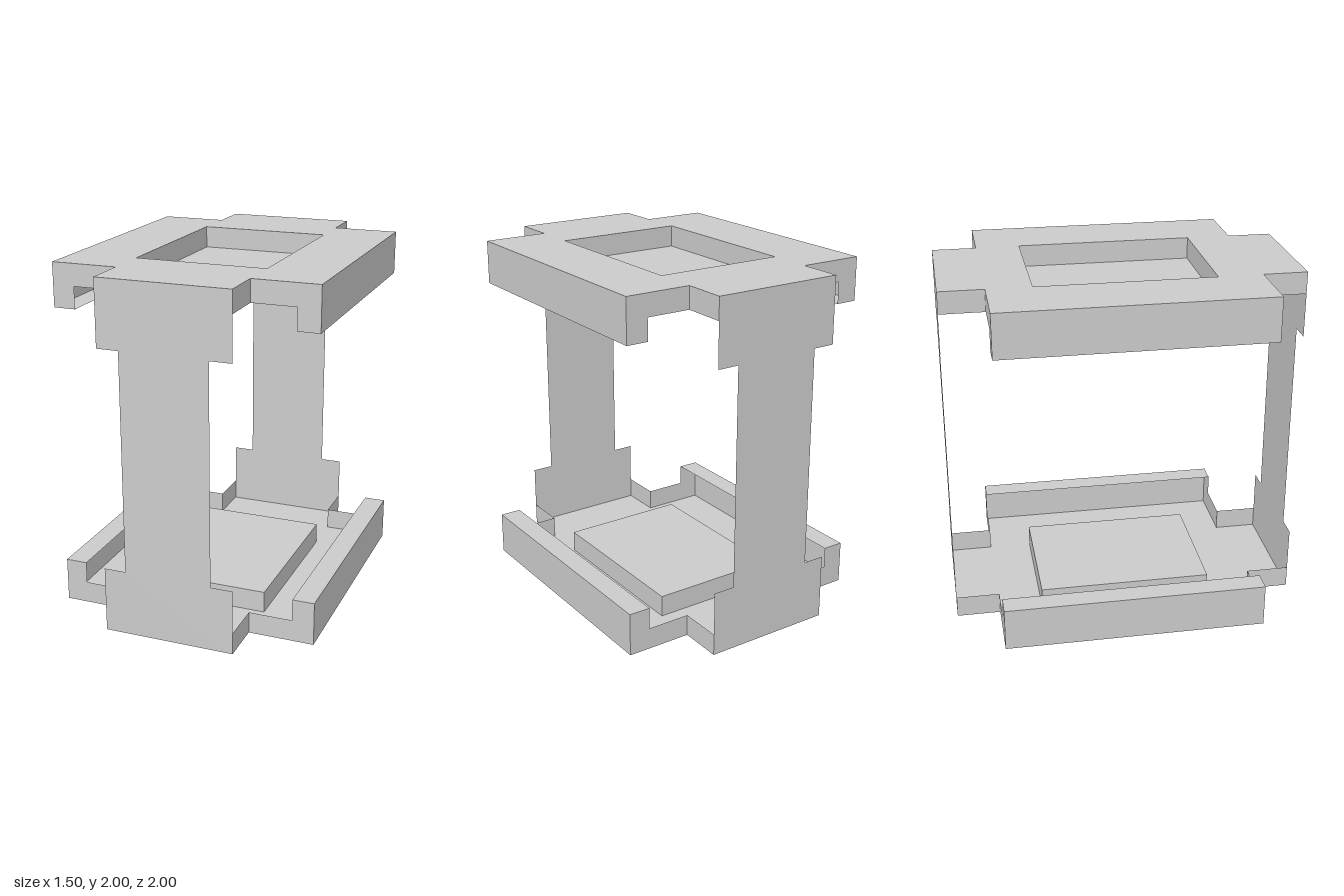
import * as THREE from 'three';

const U = 0.125; // grid step of the whole design
const H = Math.PI / 2;

// Closed shape from corner points
const polygon = (points) => new THREE.Shape(points.map(([x, y]) => new THREE.Vector2(x, y)));

export function createModel() {
  const model = new THREE.Group();
  model.name = 'openFrame';
  const grey = new THREE.MeshStandardMaterial({ color: 0xcccccc, flatShading: true, side: THREE.DoubleSide });

  const add = (parent, name, geometry, x = 0, y = 0, z = 0) => {
    const mesh = new THREE.Mesh(geometry, grey);
    mesh.name = name;
    mesh.position.set(x, y, z);
    parent.add(mesh);
    return mesh;
  };

  // Deck sheets: cross-shaped outer face with a window
  const outline = polygon([
    [-3 * U, -1], [3 * U, -1], [3 * U, -6 * U], [6 * U, -6 * U],
    [6 * U, 6 * U], [3 * U, 6 * U], [3 * U, 1], [-3 * U, 1],
    [-3 * U, 6 * U], [-6 * U, 6 * U], [-6 * U, -6 * U], [-3 * U, -6 * U],
  ]);
  outline.holes.push(polygon([[-3 * U, -0.5], [-3 * U, 0.5], [3 * U, 0.5], [3 * U, -0.5]]));
  const face = new THREE.ShapeGeometry(outline).rotateX(H);
  const padTop = new THREE.PlaneGeometry(6 * U, 1).rotateX(-H);
  const padEnd = new THREE.PlaneGeometry(6 * U, U);
  const padSide = new THREE.PlaneGeometry(1, U).rotateY(H);
  const tabSide = new THREE.PlaneGeometry(2 * U, U).rotateY(H);
  const sideWall = new THREE.PlaneGeometry(12 * U, 2 * U).rotateY(H);
  const lipTop = new THREE.PlaneGeometry(U, 12 * U).rotateX(-H);
  // L-shaped wall closing the ends of each side
  const corner = [[3 * U, 0], [6 * U, 0], [6 * U, 2 * U], [5 * U, 2 * U], [5 * U, U], [3 * U, U]];
  const cornerWall = {
    1: new THREE.ShapeGeometry(polygon(corner)),
    '-1': new THREE.ShapeGeometry(polygon(corner.map(([x, y]) => [-x, y]))),
  };

  // Hollow deck, outer face on y = 0 and open towards the middle
  for (const name of ['lowerDeck', 'upperDeck']) {
    const deck = new THREE.Group();
    deck.name = name;
    add(deck, 'outerFace', face);
    add(deck, 'recessFloor', padTop, 0, U, 0);
    for (const s of [1, -1]) {
      const side = s > 0 ? 'left' : 'right';
      add(deck, s > 0 ? 'frontRecessWall' : 'backRecessWall', padEnd, 0, U / 2, s * 0.5);
      add(deck, side + 'RecessWall', padSide, s * 3 * U, U / 2, 0);
      add(deck, side + 'Wall', sideWall, s * 6 * U, U, 0);
      add(deck, side + 'Lip', lipTop, s * 5.5 * U, 2 * U, 0);
      for (const e of [1, -1]) {
        add(deck, side + 'CornerWall', cornerWall[s], 0, 0, e * 6 * U);
        add(deck, side + 'TabWall', tabSide, s * 3 * U, U / 2, e * 7 * U);
      }
    }
    if (name === 'upperDeck') {
      deck.rotation.z = Math.PI;
      deck.position.y = 2;
    }
    model.add(deck);
  }

  // Paper-thin end panels, wider where they meet the decks
  const half = [[3 * U, 0], [3 * U, 3 * U], [2 * U, 3 * U], [2 * U, 13 * U], [3 * U, 13 * U], [3 * U, 2]];
  const panel = new THREE.ShapeGeometry(polygon([...half, ...half.map(([x, y]) => [-x, y]).reverse()]));
  add(model, 'frontPanel', panel, 0, 0, 1);
  add(model, 'backPanel', panel, 0, 0, -1).rotation.y = Math.PI;

  return model;
}
